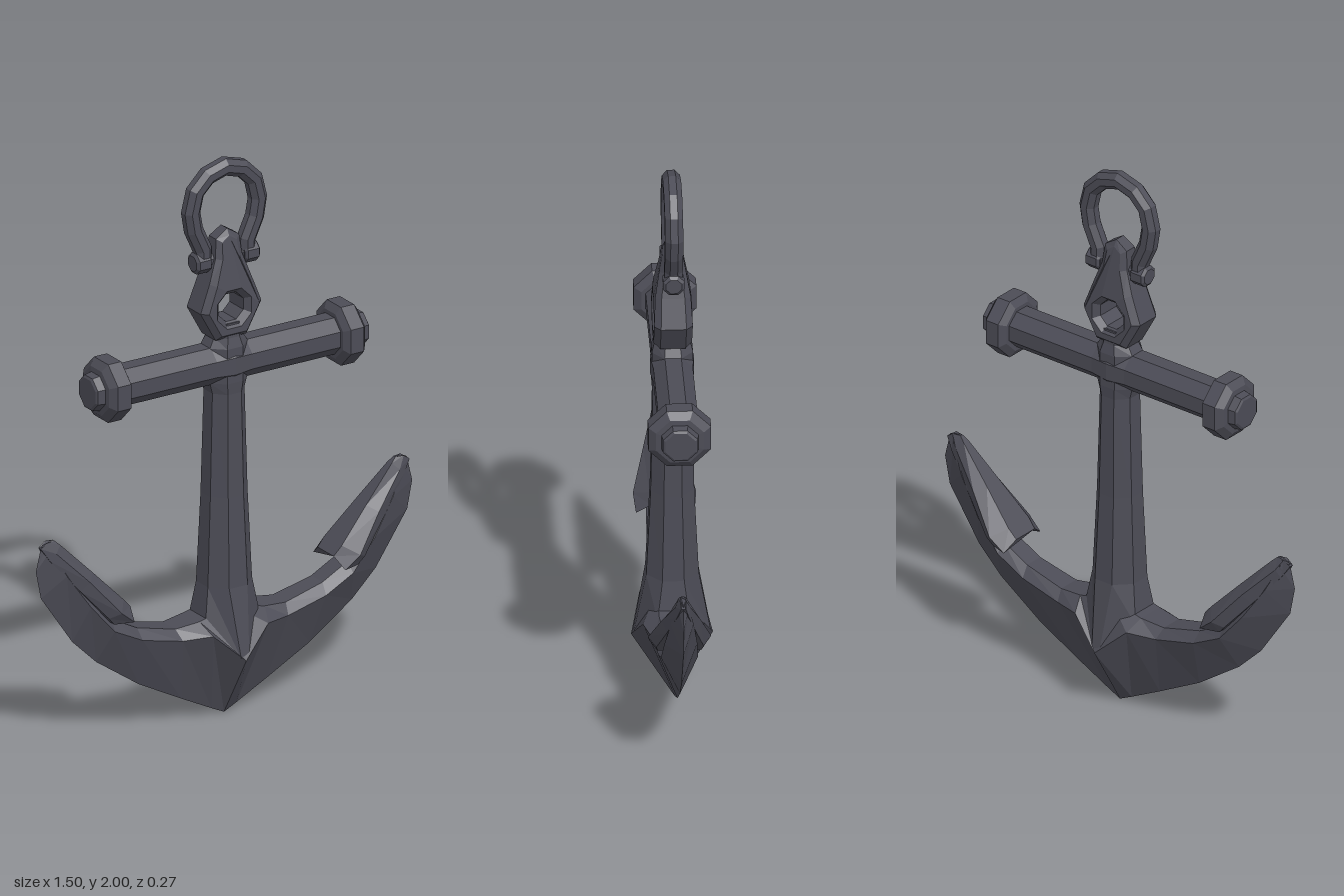
import * as THREE from 'three';

const material = new THREE.MeshStandardMaterial({ color: 0x4c4c56, flatShading: true });

function part(name, geometry, parent) {
  const mesh = new THREE.Mesh(geometry, material);
  mesh.name = name;
  parent.add(mesh);
  return mesh;
}

// Skin a list of equal-length rings of [x, y, z], cap the ends, face outwards.
function loft(rings) {
  const n = rings[0].length, last = (rings.length - 1) * n;
  const pts = rings.flat();
  const index = [];
  for (let r = 0; r < rings.length - 1; r++) {
    for (let i = 0; i < n; i++) {
      const a = r * n + i, b = r * n + (i + 1) % n;
      index.push(a, b, b + n, a, b + n, a + n);
    }
  }
  for (let i = 1; i < n - 1; i++) {
    index.push(0, i + 1, i, last, last + i, last + i + 1);
  }
  // A negative enclosed volume means the faces point inwards
  let volume = 0;
  const v = pts.map((p) => new THREE.Vector3(...p));
  for (let i = 0; i < index.length; i += 3) {
    volume += v[index[i]].dot(v[index[i + 1]].clone().cross(v[index[i + 2]]));
  }
  if (volume < 0) index.reverse();
  const g = new THREE.BufferGeometry();
  g.setAttribute('position', new THREE.Float32BufferAttribute(pts.flat(), 3));
  g.setIndex(index);
  g.computeVertexNormals();
  return g;
}

// Eight-sided turned shape lying along x, flats up; profile is [x, apothem]
function turnedX(profile) {
  const k = Math.cos(Math.PI / 8);
  const g = new THREE.LatheGeometry(profile.map(([x, r]) => new THREE.Vector2(r / k, x)), 8, Math.PI / 8);
  return g.rotateZ(-Math.PI / 2);
}

// Octagonal ring at height y
function octagon(y, rx, rz) {
  const t = 0.414;
  return [[1, t], [t, 1], [-t, 1], [-1, t], [-1, -t], [-t, -1], [t, -1], [1, -t]]
    .map(([a, b]) => [a * rx, y, b * rz]);
}

export function createModel() {
  const anchor = new THREE.Group();
  anchor.name = 'anchor';

  // Shank, flaring into a V on the crown
  const foot = octagon(0.34, 0.11, 0.13).map(([x, y, z]) =>
    Math.abs(z) > 0.1 ? [x * 0.35, 0.24, z] : [x, y, z]);
  part('shank', loft([
    foot, octagon(0.48, 0.088, 0.088), octagon(0.8, 0.074, 0.073), octagon(1.17, 0.064, 0.066),
    octagon(1.21, 0.075, 0.069), octagon(1.335, 0.075, 0.069), octagon(1.37, 0.055, 0.06),
    octagon(1.42, 0.06, 0.055),
  ]), anchor);

  // Arms: inner edge x,y / shoulder x,y / keel x,y / shoulder half width / inner half width
  const stations = [
    [0, 0.4, 0, 0.23, 0, 0, 0.137, 0.05],
    [0.13, 0.37, 0.11, 0.33, 0.05, 0.024, 0.103, 0.05],
    [0.22, 0.36, 0.21, 0.325, 0.17, 0.085, 0.072, 0.04],
    [0.37, 0.397, 0.365, 0.36, 0.34, 0.175, 0.065, 0.035],
    [0.47, 0.45, 0.475, 0.415, 0.51, 0.293, 0.062, 0.035],
    [0.55, 0.55, 0.565, 0.52, 0.605, 0.386, 0.055, 0.03],
    [0.63, 0.67, 0.65, 0.645, 0.73, 0.57, 0.038, 0.02],
    [0.68, 0.755, 0.70, 0.745, 0.75, 0.67, 0.018, 0.01],
    [0.69, 0.768, 0.705, 0.77, 0.728, 0.76, 0.01, 0.006],
  ];
  const armRing = (s) => ([ix, iy, sx, sy, kx, ky, w, wi]) => [
    [s * ix, iy, wi], [s * sx, sy, w], [s * kx, ky, 0], [s * sx, sy, -w], [s * ix, iy, -wi],
  ];
  part('arms', loft([
    ...stations.slice(1).reverse().map(armRing(-1)), ...stations.map(armRing(1)),
  ]), anchor);

  // Palms: top x,y / side x,y / underside x,y / half width
  const palm = [
    [0.405, 0.487, 0.42, 0.45, 0.485, 0.447, 0.098],
    [0.435, 0.52, 0.475, 0.495, 0.51, 0.475, 0.106],
    [0.545, 0.635, 0.575, 0.615, 0.605, 0.585, 0.066],
    [0.66, 0.752, 0.685, 0.73, 0.705, 0.705, 0.025],
    [0.68, 0.77, 0.71, 0.77, 0.735, 0.752, 0.01],
  ];
  for (const s of [-1, 1]) {
    part(s > 0 ? 'leftPalm' : 'rightPalm', loft(palm.map(([tx, ty, sx, sy, bx, by, w]) => [
      [s * tx, ty, w * 0.5], [s * sx, sy, w], [s * bx, by, w * 0.75],
      [s * bx, by, -w * 0.75], [s * sx, sy, -w], [s * tx, ty, -w * 0.5],
    ])), anchor);
  }

  // Stock with a collared knob at each end
  part('stock', turnedX([[-0.45, 0.066], [-0.07, 0.066], [0, 0.074], [0.07, 0.066], [0.45, 0.066]]), anchor)
    .position.y = 1.27;
  for (const s of [-1, 1]) {
    const knob = part(s > 0 ? 'leftKnob' : 'rightKnob', turnedX([
      [0.422, 0], [0.422, 0.08], [0.438, 0.105], [0.49, 0.105], [0.51, 0.08],
      [0.512, 0.062], [0.54, 0.058], [0.545, 0.05], [0.545, 0],
    ]), anchor);
    knob.position.y = 1.27;
    knob.rotation.y = s > 0 ? 0 : Math.PI;
  }

  // Eye head: pierced plate that thins towards the top
  const half = [[0.05, 1.385], [0.1, 1.475], [0.065, 1.565], [0.034, 1.65], [0.028, 1.71]];
  const outline = [...half, [0, 1.728], ...half.map(([x, y]) => [-x, y]).reverse()];
  const head = new THREE.Shape(outline.map(([x, y]) => new THREE.Vector2(x, y)));
  const hole = [];
  for (let i = 0; i < 8; i++) {
    const a = -(i + 0.5) * Math.PI / 4;
    hole.push(new THREE.Vector2(0.074 * Math.cos(a), 1.475 + 0.074 * Math.sin(a)));
  }
  head.holes.push(new THREE.Path(hole));
  const headGeometry = new THREE.ExtrudeGeometry(head, {
    depth: 0.085, bevelEnabled: true, bevelThickness: 0.022, bevelSize: 0.019, bevelSegments: 1,
  }).translate(0, 0, -0.0425);
  const pos = headGeometry.attributes.position;
  for (let i = 0; i < pos.count; i++) {
    const t = THREE.MathUtils.clamp((pos.getY(i) - 1.54) / 0.2, 0, 1);
    pos.setZ(i, pos.getZ(i) * (1 - 0.55 * t));
  }
  headGeometry.computeVertexNormals();
  part('eyeHead', headGeometry, anchor);

  // Shackle bow, pin and pin ends
  const side = [[0.088, 1.645], [0.088, 1.69], [0.122, 1.765], [0.133, 1.83], [0.116, 1.9], [0.068, 1.948]];
  const bow = [...side, [0, 1.968], ...side.map(([x, y]) => [-x, y]).reverse()];
  const path = new THREE.CurvePath();
  for (let i = 0; i < bow.length - 1; i++) {
    path.add(new THREE.LineCurve3(
      new THREE.Vector3(...bow[i], 0), new THREE.Vector3(...bow[i + 1], 0)));
  }
  const ring = bow.map(([x, y], i) => {
    const a = bow[Math.max(i - 1, 0)], b = bow[Math.min(i + 1, bow.length - 1)];
    const d = new THREE.Vector2(b[0] - a[0], b[1] - a[1]).normalize();
    return Array.from({ length: 8 }, (_, k) => {
      const u = (k + 0.5) * Math.PI / 4, r = 0.033;
      return [x - d.y * r * Math.cos(u), y + d.x * r * Math.cos(u), r * Math.sin(u)];
    });
  });
  part('shackleBow', loft(ring), anchor);
  part('shacklePin', turnedX([[-0.1, 0.022], [0.1, 0.022]]), anchor).position.y = 1.643;
  for (const s of [-1, 1]) {
    part('pinEnd', turnedX([
      [-0.03, 0], [-0.03, 0.026], [-0.022, 0.036], [0.022, 0.036], [0.03, 0.026], [0.03, 0],
    ]), anchor).position.set(s * 0.096, 1.643, 0);
  }
  return anchor;
}
